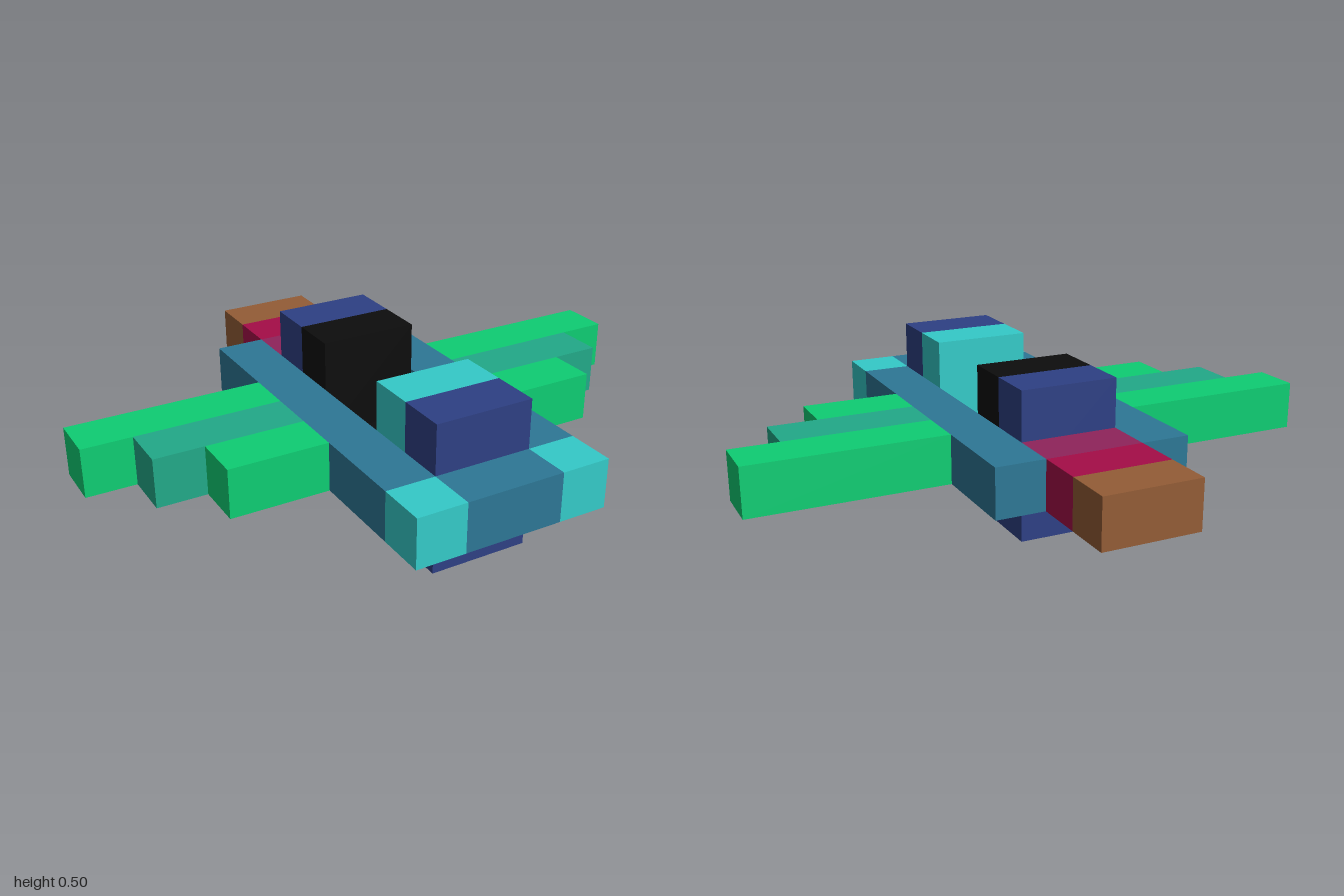
import * as THREE from 'three';

const U = 1 / 6; // one block

const paint = (name, color) => {
  const m = new THREE.MeshStandardMaterial({ color });
  m.name = name;
  return m;
};

export function createModel() {
  const navy = paint('navy', 0x2e4084);
  const black = paint('black', 0x0d0d0d);
  const teal = paint('teal', 0x2d7795);
  const cyan = paint('cyan', 0x34cac8);
  const green = paint('green', 0x0ecd73);
  const seaGreen = paint('seaGreen', 0x22a988);
  const brown = paint('brown', 0x935c36);
  const crimson = paint('crimson', 0xa50d48);
  const plum = paint('plum', 0x8f245b);

  const model = new THREE.Group();
  model.name = 'blockPlane';

  // Box given by its limits in blocks
  const block = (name, material, [x0, x1], [y0, y1], [z0, z1]) => {
    const mesh = new THREE.Mesh(
      new THREE.BoxGeometry((x1 - x0) * U, (y1 - y0) * U, (z1 - z0) * U), material);
    mesh.position.set((x0 + x1) * U / 2, (y0 + y1) * U / 2, (z0 + z1) * U / 2);
    mesh.name = name;
    model.add(mesh);
  };
  const mid = [-1, 1];

  // Keel
  block('keelRear', navy, mid, [0, 1], [-2, 0]);
  block('keelBand', black, mid, [0, 1], [0, 1]);
  block('keelFront', navy, mid, [0, 1], [1, 4]);

  // Nose and tail
  block('nose', teal, mid, [1, 2], [4, 5]);
  block('noseCore', teal, mid, [1, 2], [3, 4]);
  block('tailRoot', plum, mid, [1, 2], [-3, -2]);
  block('tailBand', crimson, mid, [1, 2], [-4, -3]);
  block('tailTip', brown, mid, [1, 2], [-5, -4]);

  // Blocks before and behind the open cockpit
  block('hood', navy, mid, [2, 3], [3, 4]);
  block('windscreen', cyan, mid, [1, 3], [2, 3]);
  block('seatBack', black, mid, [1, 3], [-1, 0]);
  block('headFairing', navy, mid, [1, 3], [-2, -1]);

  // Side rails, lamps and stepped wings
  for (const s of [-1, 1]) {
    const side = s > 0 ? 'left' : 'right';
    const span = (a, b) => (s > 0 ? [a, b] : [-b, -a]);
    block(side + 'Rail', teal, span(1, 2), [1, 2], [-3, 4]);
    block(side + 'Lamp', cyan, span(1, 2), [1, 2], [4, 5]);
    block(side + 'WingRear', green, span(2, 6), [1, 2], [-1, 0]);
    block(side + 'WingMiddle', seaGreen, span(2, 5), [1, 2], [0, 1]);
    block(side + 'WingFront', green, span(2, 4), [1, 2], [1, 2]);
  }
  return model;
}
